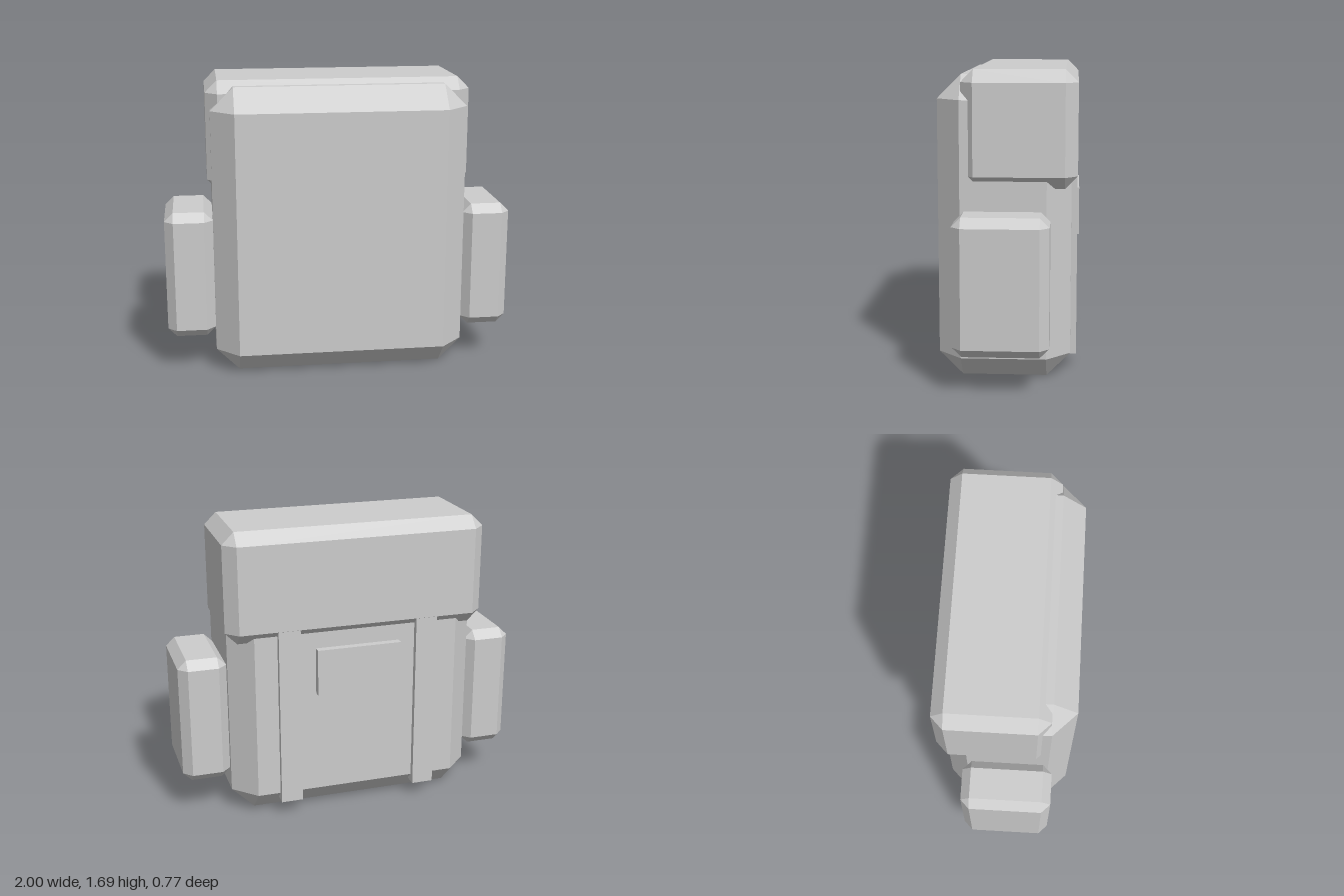
import * as THREE from 'three';
import { ConvexGeometry } from 'three/addons/geometries/ConvexGeometry.js';

// Box between two corners with every edge cut flat by c.
function chamferedBox([x0, y0, z0], [x1, y1, z1], c) {
  const half = [(x1 - x0) / 2, (y1 - y0) / 2, (z1 - z0) / 2];
  const points = [];
  for (const sx of [-1, 1]) for (const sy of [-1, 1]) for (const sz of [-1, 1]) {
    const s = [sx, sy, sz];
    // each corner becomes three points, one on each adjoining face
    for (let face = 0; face < 3; face++) {
      const p = half.map((h, i) => s[i] * (i === face ? h : h - c));
      points.push(new THREE.Vector3(...p));
    }
  }
  const geometry = new ConvexGeometry(points);
  geometry.translate((x0 + x1) / 2, (y0 + y1) / 2, (z0 + z1) / 2);
  return geometry;
}

function plainBox([x0, y0, z0], [x1, y1, z1]) {
  const geometry = new THREE.BoxGeometry(x1 - x0, y1 - y0, z1 - z0);
  geometry.translate((x0 + x1) / 2, (y0 + y1) / 2, (z0 + z1) / 2);
  return geometry;
}

export function createModel() {
  const backpack = new THREE.Group();
  backpack.name = 'backpack';

  const fabric = new THREE.MeshStandardMaterial({ color: 0xcccccc });
  fabric.name = 'light grey fabric';

  const add = (name, geometry) => {
    const mesh = new THREE.Mesh(geometry, fabric);
    mesh.name = name;
    backpack.add(mesh);
  };

  // Main bag and the bedroll across the top of its back
  add('body', chamferedBox([-0.725, 0, -0.34], [0.725, 1.66, 0.383], 0.13));
  add('bedroll', chamferedBox([-0.75, 1.06, -0.374], [0.75, 1.69, 0.248], 0.068));

  // Side pockets
  add('leftPocket', chamferedBox([0.725, 0.21, -0.232], [1, 0.95, 0.275], 0.05));
  add('rightPocket', chamferedBox([-1, 0.21, -0.232], [-0.725, 0.95, 0.275], 0.05));

  // Straps running down the back from under the bedroll
  add('leftStrap', plainBox([0.34, 0.085, -0.373], [0.465, 1.2, -0.3]));
  add('rightStrap', plainBox([-0.465, 0.085, -0.373], [-0.34, 1.2, -0.3]));

  // Raised patch between the straps
  add('backPatch', plainBox([-0.245, 0.73, -0.383], [0.245, 1, -0.33]));

  return backpack;
}
